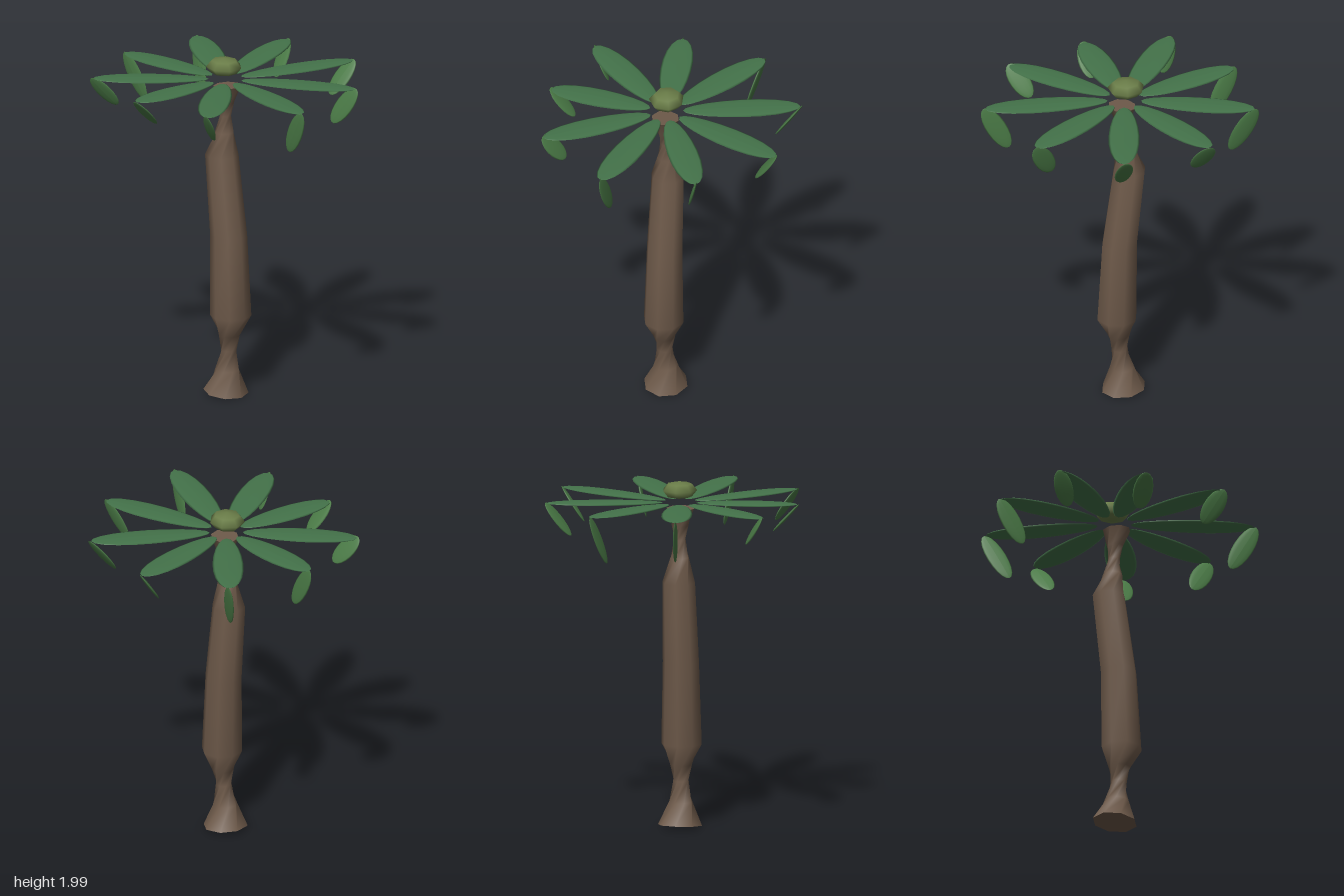
import * as THREE from 'three';

const mat = (color) => new THREE.MeshStandardMaterial({ color });
const SIDES = 8;

// Smooth skin over eight-sided rings: [y, centre x, radius, twist in degrees, slope]
function twistedTrunk(rings) {
  const pos = [], idx = [];
  rings.forEach(([y, cx, r, twist, slope = 0], i) => {
    for (let j = 0; j < SIDES; j++) {
      const a = (j / SIDES) * Math.PI * 2 - THREE.MathUtils.degToRad(twist);
      const x = Math.cos(a) * r;
      pos.push(cx + x, y + x * slope, 0.025 + Math.sin(a) * r);
      if (i === rings.length - 1) continue;
      const k = (j + 1) % SIDES;
      const p = i * SIDES + j, q = i * SIDES + k;
      idx.push(p, p + SIDES, q, q, p + SIDES, q + SIDES);
    }
  });
  const geo = new THREE.BufferGeometry();
  geo.setAttribute('position', new THREE.Float32BufferAttribute(pos, 3));
  geo.setIndex(idx);
  geo.computeVertexNormals();
  return geo;
}

// Flat pod with its long axis on x, optionally narrower towards -x
function podGeometry(taper) {
  const geo = new THREE.SphereGeometry(1, 12, 10).rotateZ(-Math.PI / 2);
  const p = geo.attributes.position;
  for (let i = 0; i < p.count; i++) p.setZ(i, p.getZ(i) * (1 + taper * p.getX(i)));
  geo.computeVertexNormals();
  return geo;
}

// Pod stretched from a to b, its width lying across "normal"
function pod(name, geo, material, a, b, normal, width, thick) {
  const along = b.clone().sub(a);
  const len = along.length();
  along.normalize();
  const across = new THREE.Vector3().crossVectors(along, normal).normalize();
  const up = new THREE.Vector3().crossVectors(across, along);
  const mesh = new THREE.Mesh(geo, material);
  mesh.name = name;
  mesh.quaternion.setFromRotationMatrix(new THREE.Matrix4().makeBasis(along, up, across));
  mesh.scale.set(len / 2, thick / 2, width / 2);
  mesh.position.copy(a).add(b).multiplyScalar(0.5);
  return mesh;
}

export function createModel() {
  const tree = new THREE.Group();
  tree.name = 'palmTree';

  // Trunk, pinched by a twist near the foot and near the crown
  const trunk = new THREE.Mesh(twistedTrunk([
    [0.018, -0.045, 0, 0, -0.1],
    [0.018, -0.045, 0.128, 0, -0.1],
    [0.018, -0.045, 0.128, 0, -0.1],
    [0.15, -0.035, 0.07, 30],
    [0.27, -0.022, 0.046, 75],
    [0.36, -0.015, 0.062, 108],
    [0.48, -0.005, 0.117, 135],
    [0.95, -0.022, 0.105, 135],
    [1.42, -0.08, 0.095, 135],
    [1.56, -0.058, 0.055, 165],
    [1.66, -0.05, 0.034, 205],
    [1.74, -0.043, 0.047, 240],
    [1.84, -0.035, 0.08, 270, 0.05],
    [1.84, -0.035, 0.08, 270, 0.05],
    [1.84, -0.035, 0, 270],
  ]), mat(0x6e5a4a));
  trunk.name = 'trunk';
  tree.add(trunk);

  // Rounded bud above the leaves
  const bud = new THREE.Mesh(new THREE.SphereGeometry(1, 7, 4), mat(0x6a7d48));
  bud.name = 'crownBud';
  bud.scale.set(0.107, 0.051, 0.1);
  bud.position.set(-0.06, 1.949, 0.025);
  tree.add(bud);

  // Nine leaves, each with a bent-back drooping tip: [reach, tip drop]
  const green = mat(0x44734a), tipGreen = mat(0x4a7a46);
  const bladeGeo = podGeometry(0.12), tipGeo = podGeometry(0);
  const up = new THREE.Vector3(0, 1, 0), front = new THREE.Vector3(0, 0, 1);
  const leaves = [[0.68, 0.16], [0.75, 0.17], [0.8, 0.26], [0.77, 0.21], [0.78, 0.19],
    [0.76, 0.19], [0.75, 0.28], [0.71, 0.25], [0.75, 0.16]];
  leaves.forEach(([reach, drop], i) => {
    const a = THREE.MathUtils.degToRad(90 - i * 40);
    const at = (r, y) => new THREE.Vector3(-0.05 + Math.cos(a) * r, y, 0.025 + Math.sin(a) * r);
    const leaf = new THREE.Group();
    leaf.name = `leaf${i + 1}`;
    leaf.add(
      pod('leafBlade', bladeGeo, green, at(0.095, 1.878), at(reach, 1.89), up, 0.175, 0.018),
      pod('leafTip', tipGeo, tipGreen, at(reach + 0.01, 1.892), at(reach - 0.14, 1.892 - drop),
        front, 0.115, 0.018),
    );
    tree.add(leaf);
  });
  return tree;
}
